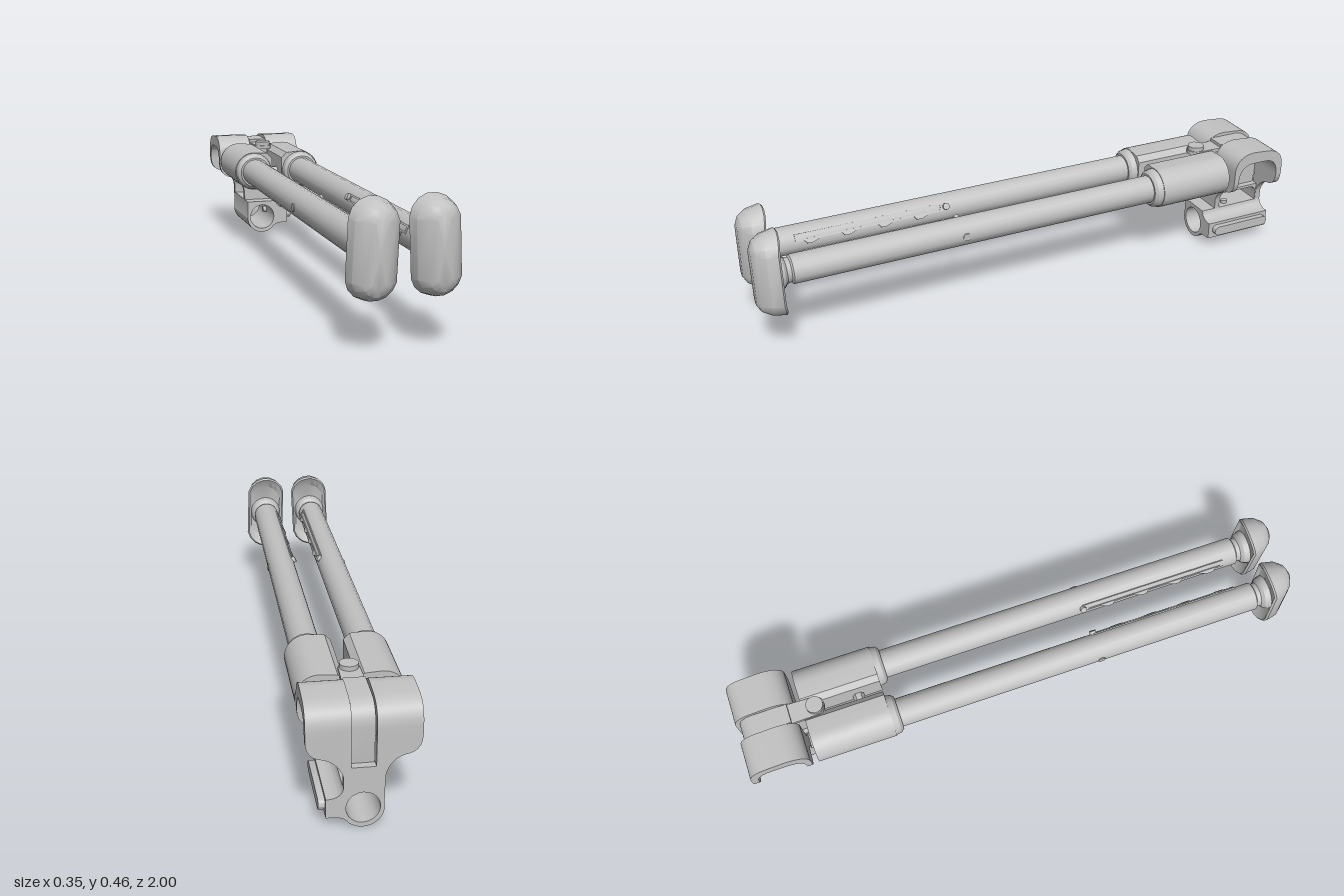
import * as THREE from 'three';
import { toCreasedNormals } from 'three/addons/utils/BufferGeometryUtils.js';

const steel = new THREE.MeshStandardMaterial({ color: 0xc2c2c2 });
steel.name = 'light grey steel';

export function createModel() {
  const model = new THREE.Group();
  model.name = 'foldingBipod';

  const add = (name, geo, parent = model) => {
    const mesh = new THREE.Mesh(toCreasedNormals(geo, 0.55), steel);
    mesh.name = name;
    parent.add(mesh);
    return mesh;
  };
  const box = (x0, x1, y0, y1, z0, z1) =>
    new THREE.BoxGeometry(x1 - x0, y1 - y0, z1 - z0).translate((x0 + x1) / 2, (y0 + y1) / 2, (z0 + z1) / 2);
  const polygon = pts => new THREE.Shape(pts.map(p => new THREE.Vector2(p[0], p[1])));
  // Shape in x,y pushed from z0 to z1
  const alongZ = (shape, z0, z1) =>
    new THREE.ExtrudeGeometry(shape, { depth: z1 - z0, bevelEnabled: false, curveSegments: 10 }).translate(0, 0, z0);
  // Shape in -z,y pushed from x0 to x1
  const alongX = (shape, x0, x1) =>
    new THREE.ExtrudeGeometry(shape, { depth: x1 - x0, bevelEnabled: false, curveSegments: 10 })
      .rotateY(Math.PI / 2).translate(x0, 0, 0);
  // Shape in x,-z pushed from y0 to y1
  const alongY = (shape, y0, y1) =>
    new THREE.ExtrudeGeometry(shape, { depth: y1 - y0, bevelEnabled: false, curveSegments: 10 })
      .rotateX(-Math.PI / 2).translate(0, y0, 0);
  // Turned part with its axis on z, profile points are [z, radius]
  const turned = (pts, x, y) =>
    new THREE.LatheGeometry(pts.map(p => new THREE.Vector2(p[1], p[0])), 18).rotateX(Math.PI / 2).translate(x, y, 0);

  // Foot: stadium rings from the domed front, round the curled rim, to the shallow back
  function footGeometry() {
    const n = 16;
    const rings = [[1, 0.02, 0.1, 0], [0.987, 0.045, 0.125, 0], [0.962, 0.068, 0.143, 0.006],
      [0.93, 0.076, 0.152, 0.02], [0.923, 0.07, 0.146, 0.02], [0.926, 0.06, 0.11, 0]];
    const pos = [], index = [];
    for (const [z, w, h, curl] of rings) {
      for (let i = 0; i < n; i++) {
        const a = (i + 0.5) / n * Math.PI * 2;
        const y = (h - w) * Math.sign(Math.sin(a)) + w * Math.sin(a);
        pos.push(w * Math.cos(a), y, z - curl * (y / 0.15) ** 2);
      }
    }
    const front = rings.length * n, back = front + 1, last = (rings.length - 1) * n;
    pos.push(0, 0, 1, 0, 0, 0.926);
    for (let i = 0; i < n; i++) {
      const j = (i + 1) % n;
      index.push(front, i, j, back, last + j, last + i);
      for (let r = 0; r < last; r += n) {
        index.push(r + i, r + n + i, r + n + j, r + i, r + n + j, r + j);
      }
    }
    const geo = new THREE.BufferGeometry();
    geo.setAttribute('position', new THREE.Float32BufferAttribute(pos, 3));
    geo.setIndex(index);
    geo.computeVertexNormals();
    return geo;
  }

  const legX = 0.095, legY = 0.305;
  for (const s of [-1, 1]) {
    const leg = new THREE.Group();
    leg.name = s > 0 ? 'leftLeg' : 'rightLeg';
    model.add(leg);
    const x = s * legX;

    // Tube and its flared ankle
    add('legTube', turned([[-0.5, 0], [-0.5, 0.051], [0.875, 0.05], [0.88, 0.042], [0.895, 0.044],
      [0.905, 0.056], [0.925, 0.062], [0.94, 0.045], [0.94, 0]], x, legY), leg);
    const foot = add('foot', footGeometry(), leg);
    foot.position.set(x, legY, 0);
    foot.rotation.z = s * 0.045;

    // Socket: round outside, flat towards the middle
    const d = new THREE.Shape();
    d.moveTo(s * 0.02, legY - 0.05);
    d.lineTo(s * 0.04, legY - 0.07);
    d.lineTo(x, legY - 0.075);
    d.absarc(x, legY, 0.074, -Math.PI / 2, Math.PI / 2, s < 0);
    d.lineTo(s * 0.04, legY + 0.07);
    d.lineTo(s * 0.02, legY + 0.05);
    add('legSocket', alongZ(d, -0.765, -0.485), leg);
    add('socketCollar', turned([[-0.49, 0], [-0.49, 0.073], [-0.465, 0.068], [-0.455, 0.058], [-0.455, 0]], x, legY), leg);

    // Notched height track on the inner upper face, with its stop knob
    const track = [[-0.82, 0.014], [-0.28, 0.014], [-0.28, -0.012]];
    for (const u of [-0.37, -0.5, -0.63, -0.76]) {
      track.push([u + 0.03, -0.012], [u, -0.024], [u - 0.02, -0.024], [u - 0.03, -0.012]);
    }
    track.push([-0.82, -0.012]);
    const frame = polygon(track);
    frame.holes.push(polygon([[-0.3, 0.008], [-0.81, 0.008], [-0.81, -0.007], [-0.3, -0.007]]));
    const onInnerFace = geo => geo.rotateZ(-s * 0.5).translate(x, legY, 0);
    add('heightTrack', onInnerFace(alongX(frame, -s * 0.048 - 0.004, -s * 0.048 + 0.004)), leg);
    add('trackKnob', onInnerFace(new THREE.CylinderGeometry(0.012, 0.012, 0.022, 12).rotateZ(Math.PI / 2)
      .translate(-s * 0.05, 0, 0.28)), leg);
    add('legPin', new THREE.CylinderGeometry(0.014, 0.014, 0.006, 12).rotateZ(Math.PI / 2)
      .translate(s * 0.144, legY, 0.28), leg);

    // Arched hood of the yoke, open at its outer end
    const hood = new THREE.Shape();
    hood.moveTo(0.79, 0.29);
    hood.lineTo(0.79, 0.33);
    hood.bezierCurveTo(0.79, 0.375, 0.82, 0.4, 0.87, 0.4);
    hood.lineTo(0.93, 0.395);
    hood.quadraticCurveTo(1, 0.39, 1, 0.32);
    hood.lineTo(1, 0.29);
    hood.lineTo(0.978, 0.29);
    hood.quadraticCurveTo(0.978, 0.355, 0.92, 0.355);
    hood.lineTo(0.87, 0.355);
    hood.quadraticCurveTo(0.81, 0.355, 0.81, 0.29);
    add('yokeHood', alongX(hood, s > 0 ? 0.036 : -0.168, s > 0 ? 0.168 : -0.036));
  }

  // Front and back walls of the yoke, flaring up from the neck, with a middle slot
  const wall = new THREE.Shape();
  wall.moveTo(-0.062, 0.12);
  wall.lineTo(-0.064, 0.17);
  wall.quadraticCurveTo(-0.075, 0.225, -0.13, 0.235);
  wall.quadraticCurveTo(-0.168, 0.245, -0.168, 0.295);
  wall.lineTo(-0.036, 0.295);
  wall.lineTo(-0.036, 0.2);
  wall.lineTo(0.036, 0.2);
  wall.lineTo(0.036, 0.295);
  wall.lineTo(0.168, 0.295);
  wall.quadraticCurveTo(0.168, 0.245, 0.13, 0.235);
  wall.quadraticCurveTo(0.075, 0.225, 0.058, 0.17);
  wall.lineTo(0.058, 0.12);
  add('yokeBackWall', alongZ(wall, -1, -0.978));
  add('yokeFrontWall', alongZ(wall, -0.81, -0.79));

  // Neck with a rounded window from side to side
  const neck = polygon([[0.792, 0.122], [0.998, 0.122], [0.998, 0.2], [0.792, 0.2]]);
  const opening = new THREE.Path();
  opening.absarc(0.83, 0.163, 0.027, Math.PI / 2, Math.PI, false);
  opening.lineTo(0.803, 0.13);
  opening.lineTo(0.976, 0.13);
  opening.absarc(0.949, 0.163, 0.027, 0, Math.PI / 2, false);
  neck.holes.push(opening);
  add('neckFrame', alongX(neck, -0.061, 0.057));

  // Swivel arm seated in the slot
  const arm = new THREE.Shape();
  arm.moveTo(0.81, 0.19);
  arm.lineTo(0.975, 0.19);
  arm.lineTo(0.985, 0.32);
  arm.quadraticCurveTo(0.985, 0.385, 0.92, 0.388);
  arm.lineTo(0.81, 0.388);
  add('swivelArm', alongX(arm, -0.034, 0.034));
  for (const x of [-0.04, 0.04]) {
    add('armRib', box(x - 0.008, x + 0.008, 0.2, 0.34, -0.865, -0.835));
  }
  add('armTongue', box(-0.018, 0.018, 0.225, 0.365, -0.82, -0.74));
  const lug = new THREE.Shape();
  lug.moveTo(-0.036, 0.83);
  lug.lineTo(-0.033, 0.72);
  lug.absarc(0, 0.72, 0.033, Math.PI, Math.PI * 2, false);
  lug.lineTo(0.036, 0.83);
  for (const y of [0.215, 0.362]) {
    add('pivotLug', alongY(lug, y, y + 0.014));
  }
  add('pivotPin', new THREE.CylinderGeometry(0.018, 0.018, 0.18, 14).translate(0, 0.295, -0.72));
  for (const y of [0.209, 0.383]) {
    add('pivotHead', new THREE.CylinderGeometry(0.03, 0.03, 0.016, 14).translate(0, y, -0.72));
  }
  add('legSpring', new THREE.CylinderGeometry(0.02, 0.02, 0.07, 6).rotateZ(Math.PI / 2).translate(0, 0.29, -0.57));

  // Barrel clamp: ring with a side tab
  const clamp = new THREE.Shape();
  clamp.moveTo(-0.062, 0.132);
  clamp.lineTo(-0.062, 0.065);
  clamp.absarc(0, 0.063, 0.063, Math.PI, Math.PI * 1.72, false);
  clamp.quadraticCurveTo(0.055, 0.035, 0.075, 0.036);
  clamp.lineTo(0.109, 0.038);
  clamp.lineTo(0.109, 0.1);
  clamp.quadraticCurveTo(0.064, 0.1, 0.058, 0.132);
  const bore = new THREE.Path();
  bore.absarc(0, 0.066, 0.051, 0, Math.PI * 2, true);
  clamp.holes.push(bore);
  add('barrelClamp', alongZ(clamp, -1, -0.735));

  // Long rounded clamping bar and the stud that reaches the bore
  const bar = new THREE.Shape();
  bar.absarc(0.77, 0.071, 0.018, Math.PI / 2, Math.PI * 1.5, false);
  bar.absarc(0.97, 0.071, 0.018, -Math.PI / 2, Math.PI / 2, false);
  add('clampBar', alongX(bar, 0.105, 0.129));
  add('clampStud', new THREE.CylinderGeometry(0.012, 0.012, 0.03, 12).rotateZ(Math.PI / 2).translate(0.05, 0.071, -0.87));
  add('neckButton', new THREE.CylinderGeometry(0.012, 0.012, 0.02, 12).translate(0.03, 0.135, -0.85));

  return model;
}
